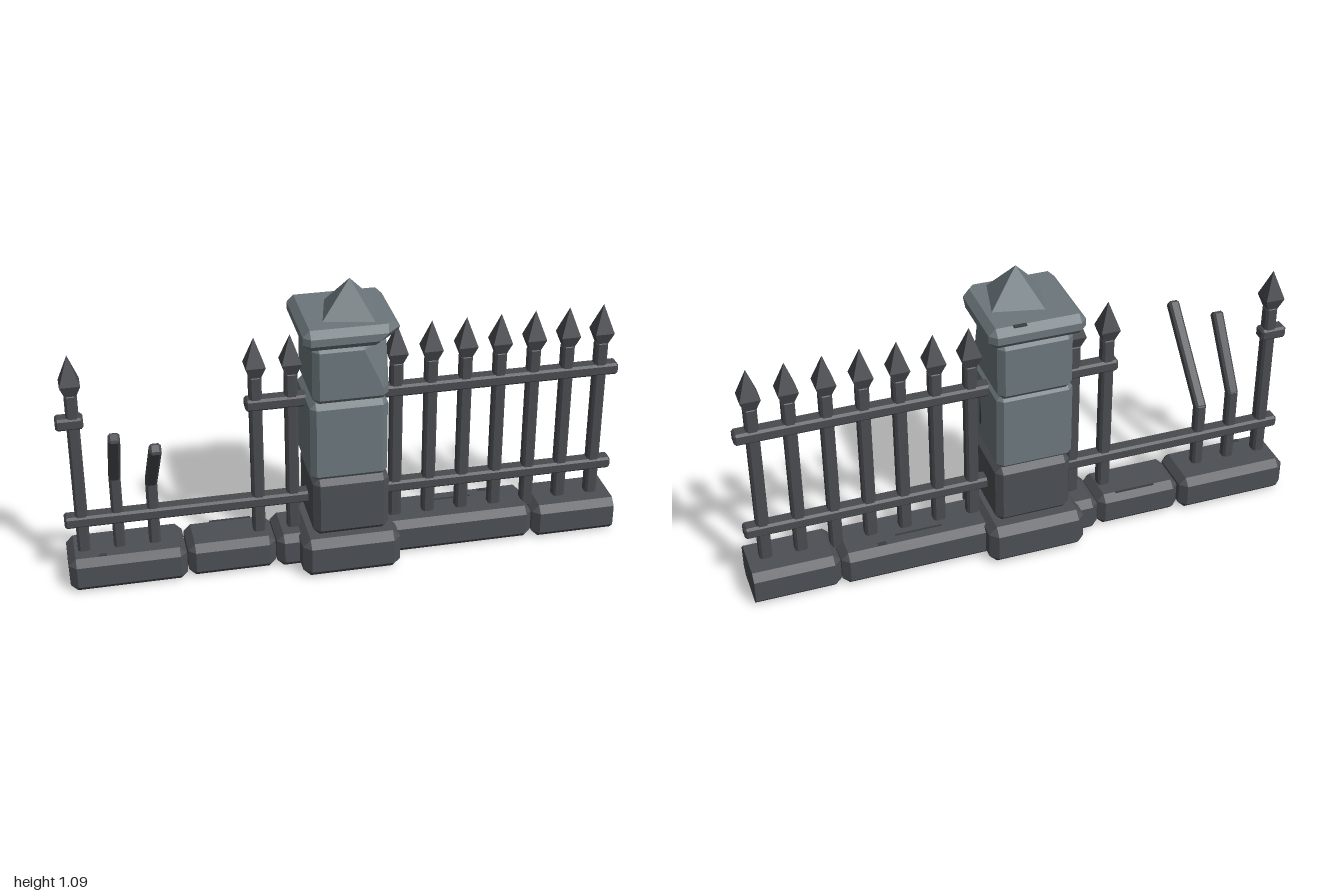
import * as THREE from 'three';
import { ConvexGeometry } from 'three/addons/geometries/ConvexGeometry.js';

const V = (x, y, z) => new THREE.Vector3(x, y, z);
const AXIS_Z = -0.055; // centre line of the fence

// Corner points of a bevelled block; skip(sx, sy, sz) can leave out a corner
function bevelPoints([x0, x1], [y0, y1], [z0, z1], c, skip = () => false) {
  const pts = [];
  for (const sx of [-1, 1]) for (const sy of [-1, 1]) for (const sz of [-1, 1]) {
    if (skip(sx, sy, sz)) continue;
    const x = sx < 0 ? x0 : x1, y = sy < 0 ? y0 : y1, z = sz < 0 ? z0 : z1;
    pts.push(V(x, y - sy * c, z - sz * c), V(x - sx * c, y, z - sz * c), V(x - sx * c, y - sy * c, z));
  }
  return pts;
}

export function createModel() {
  const root = new THREE.Group();
  const material = (name, color) => {
    const m = new THREE.MeshStandardMaterial({ color });
    m.name = name;
    return m;
  };
  const paleStone = material('paleStone', 0x6c777c);
  const darkStone = material('darkStone', 0x4c4f54);
  const iron = material('iron', 0x494b4f);
  const crackShade = material('crackShade', 0x3a3e42);

  const hull = (name, pts, mat, parent = root) => {
    const mesh = new THREE.Mesh(new ConvexGeometry(pts), mat);
    mesh.name = name;
    parent.add(mesh);
    return mesh;
  };
  const block = (name, x, y, z, c, mat, parent) => hull(name, bevelPoints(x, y, z, c), mat, parent);

  // Low wall
  block('wallBlock', [-1, -0.585], [0, 0.13], [-0.17, 0.037], 0.025, darkStone);
  block('wallBlock', [-0.58, -0.265], [0, 0.128], [-0.157, 0.027], 0.025, darkStone);
  block('wallBlock', [-0.262, -0.1], [0, 0.13], [-0.165, 0.035], 0.025, darkStone);
  block('wallBlock', [0.1, 0.69], [0, 0.13], [-0.17, 0.032], 0.025, darkStone);
  // Last block is cut off square at its outer end
  const endPts = bevelPoints([0.692, 1], [0, 0.13], [-0.165, 0.042], 0.025);
  for (const [y, z] of [[0, -0.14], [0, 0.017], [0.13, -0.14], [0.13, 0.017],
    [0.025, -0.165], [0.105, -0.165], [0.025, 0.042], [0.105, 0.042]]) endPts.push(V(1, y, z));
  hull('wallEndBlock', endPts, darkStone);

  // Pillar
  const pillar = new THREE.Group();
  pillar.name = 'pillar';
  root.add(pillar);
  block('pillarFoot', [-0.183, 0.172], [0, 0.15], [-0.235, 0.123], 0.028, darkStone, pillar);
  block('pillarLowerStone', [-0.138, 0.135], [0.148, 0.378], [-0.19, 0.083], 0.023, darkStone, pillar);
  block('pillarMiddleStone', [-0.146, 0.128], [0.372, 0.675], [-0.185, 0.08], 0.02, paleStone, pillar);

  // Upper stone and cap are broken at the front left corner
  const broken = (sx, sy, sz) => sx > 0 && sy > 0 && sz > 0;
  const upper = bevelPoints([-0.136, 0.13], [0.67, 0.893], [-0.205, 0.08], 0.022, broken);
  upper.push(V(0.04, 0.871, 0.08), V(0.04, 0.893, 0.058), V(0.13, 0.871, 0.02),
    V(0.108, 0.893, 0.02), V(0.108, 0.72, 0.08), V(0.13, 0.72, 0.058));
  hull('pillarUpperStone', upper, paleStone, pillar);

  const cap = bevelPoints([-0.172, 0.166], [0.89, 0.965], [-0.23, 0.112], 0.024,
    (sx, sy, sz) => sx > 0 && sz > 0);
  for (const [y, inset, cut] of [[0.965, 0.024, 0.045], [0.941, 0, 0.05], [0.914, 0, 0.075], [0.89, 0.024, 0.09]]) {
    cap.push(V(0.166 - inset, y, 0.112 - cut), V(0.166 - cut, y, 0.112 - inset));
  }
  hull('pillarCap', cap, paleStone, pillar);

  // Slightly turned pyramid on the cap
  const tip = hull('pillarPyramid', [V(-0.09, 0, -0.09), V(0.09, 0, -0.09), V(0.09, 0, 0.09),
    V(-0.09, 0, 0.09), V(0, 0.123, 0)], paleStone, pillar);
  tip.position.set(0.014, 0.963, -0.038);
  tip.rotation.y = -0.23;

  // Rails
  const rails = [[-1, -0.1, 0.25], [0.1, 1, 0.25], [-1, -0.905, 0.64], [-0.352, -0.1, 0.64], [0.1, 1, 0.64]];
  for (const [x0, x1, y] of rails) {
    block('rail', [x0, x1], [y - 0.022, y + 0.022], [AXIS_Z - 0.027, AXIS_Z + 0.027], 0.008, iron);
  }

  // Whole bars with spear heads
  const ring = (h, y) => [V(-h, y, -h), V(h, y, -h), V(h, y, h), V(-h, y, h)];
  for (const x of [-0.94, -0.315, -0.19, 0.185, 0.31, 0.435, 0.56, 0.685, 0.81, 0.935]) {
    const bar = new THREE.Group();
    bar.name = 'fenceBar';
    bar.position.set(x, 0, AXIS_Z);
    block('shaft', [-0.022, 0.022], [0.1, 0.75], [-0.022, 0.022], 0.008, iron, bar);
    hull('spearHead', [...ring(0.02, 0.745), ...ring(0.035, 0.787), V(0, 0.89, 0)], iron, bar);
    root.add(bar);
  }

  // Broken bars bent forward: x, bend height, tip height, tip z
  for (const [x, bendY, tipY, tipZ] of [[-0.815, 0.41, 0.655, 0.11], [-0.69, 0.375, 0.66, 0.222]]) {
    const bar = new THREE.Group();
    bar.name = 'bentBar';
    bar.position.set(x, 0, AXIS_Z);
    const side = [-0.02, 0.02];
    block('lowerShaft', side, [0.1, bendY + 0.012], side, 0.008, iron, bar);
    const dz = tipZ - AXIS_Z, dy = tipY - bendY;
    const upperShaft = block('bentShaft', side, [-0.012, Math.hypot(dy, dz)], side, 0.008, iron, bar);
    upperShaft.position.y = bendY;
    upperShaft.rotation.x = Math.atan2(dz, dy);
    root.add(bar);
  }

  // Thin cracks in the stone: centre and size
  const cracks = [
    [0.128, 0.54, 0.005, 0.004, 0.1, 0.008],
    [0.128, 0.48, 0.003, 0.004, 0.06, 0.014],
    [-0.41, 0.128, -0.135, 0.15, 0.004, 0.007],
    [0.4, 0.13, -0.105, 0.17, 0.004, 0.007],
    [0.06, 0.965, -0.212, 0.045, 0.004, 0.015],
    [0.54, 0.13, -0.135, 0.03, 0.004, 0.016],
    [-0.88, 0.13, 0.005, 0.03, 0.004, 0.014],
  ];
  for (const [x, y, z, w, h, d] of cracks) {
    const crack = new THREE.Mesh(new THREE.BoxGeometry(w, h, d), crackShade);
    crack.name = 'crack';
    crack.position.set(x, y, z);
    root.add(crack);
  }
  return root;
}
